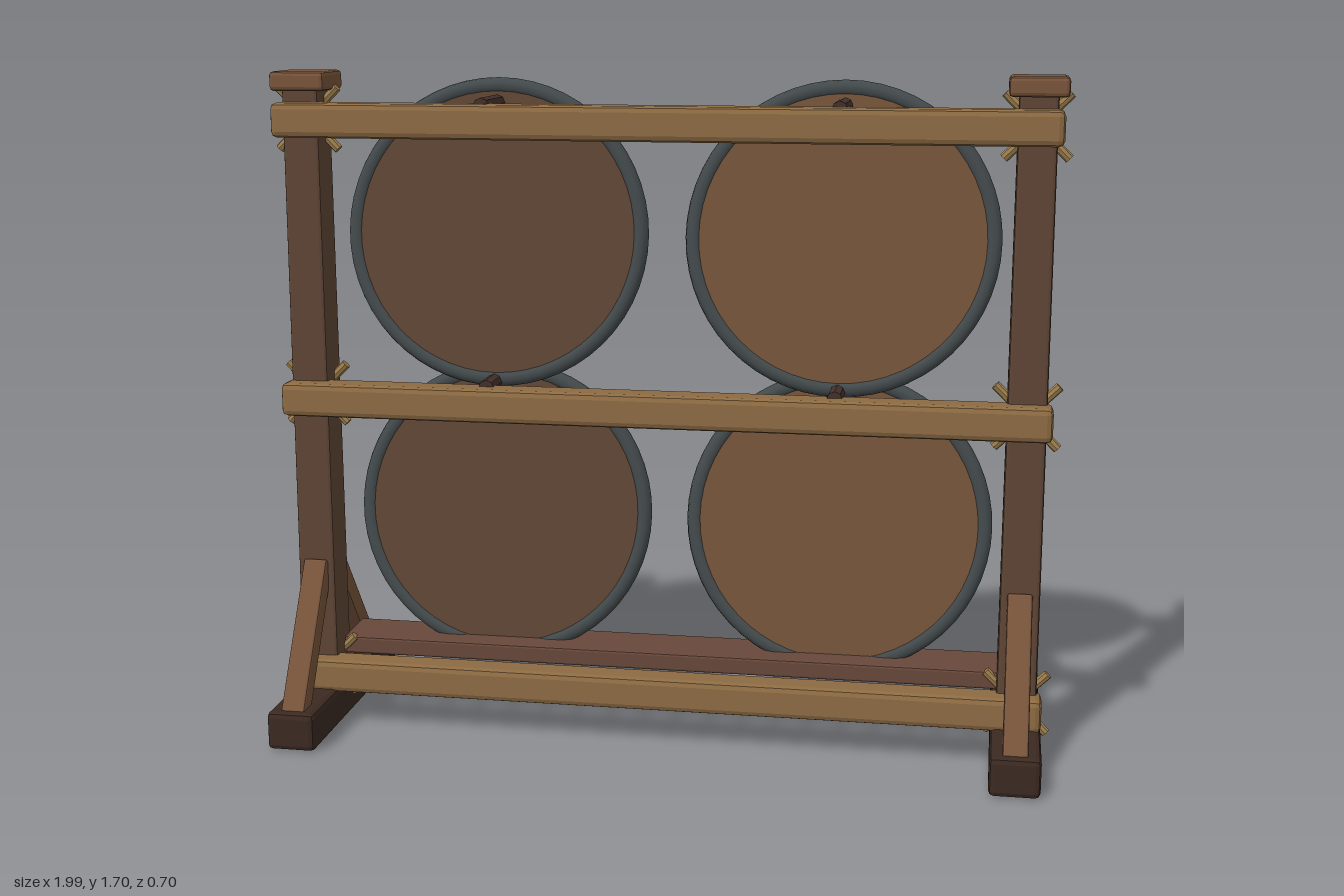
import * as THREE from 'three';
import { RoundedBoxGeometry } from 'three/addons/geometries/RoundedBoxGeometry.js';

const flat = (color) => new THREE.MeshStandardMaterial({ color, flatShading: true });
const smooth = (color) => new THREE.MeshStandardMaterial({ color });
const M = {
  post: flat(0x5e4535), foot: flat(0x3b2921), warm: flat(0x78543b), rail: flat(0x8c6b43),
  shelf: flat(0x67483a), peg: flat(0x43302a), lash: flat(0x9c7d4c), gap: flat(0x2a1e17),
  rim: smooth(0x434a4c), boss: smooth(0x7b7b71), rivet: smooth(0x55453a), paint: flat(0x4a5a69),
  darkWood: flat(0x5f4535), lightWood: flat(0x75533a),
};

function add(parent, name, geometry, material, x = 0, y = 0, z = 0) {
  const mesh = new THREE.Mesh(geometry, material);
  mesh.name = name;
  mesh.position.set(x, y, z);
  parent.add(mesh);
  return mesh;
}

// Timber with chamfered edges
const beam = (w, h, d, chamfer = 0.01) => new RoundedBoxGeometry(w, h, d, 1, chamfer);

// Slice of a disc between x0 and x1, as one flat board
function discSlice(x0, x1, r, depth) {
  const pts = [];
  const n = 12;
  const edge = (x) => Math.sqrt(Math.max(r * r - x * x, 0));
  for (let i = 0; i <= n; i++) {
    const x = x0 + (x1 - x0) * i / n;
    pts.push(new THREE.Vector2(x, -edge(x)));
  }
  for (let i = n; i >= 0; i--) {
    const x = x0 + (x1 - x0) * i / n;
    pts.push(new THREE.Vector2(x, edge(x) + 1e-5));
  }
  return new THREE.ExtrudeGeometry(new THREE.Shape(pts), { depth, bevelEnabled: false });
}

function disc(r, depth, sides = 56) {
  return new THREE.CylinderGeometry(r, r, depth, sides).rotateX(Math.PI / 2);
}

// Round shield, its outer face towards -z
function makeShield(wood, painted) {
  const g = new THREE.Group();
  const R = 0.368;
  add(g, 'shieldBack', disc(R, 0.014), wood, 0, 0, 0.007);
  add(g, 'shieldCore', disc(R - 0.002, 0.008), M.gap, 0, 0, -0.003);

  // Six planks with narrow gaps
  const count = 6, w = 2 * R / count;
  for (let i = 0; i < count; i++) {
    const x = -R + i * w;
    add(g, 'plank', discSlice(x + 0.004, x + w - 0.004, R, 0.014), wood, 0, 0, -0.018);
  }
  if (painted) add(g, 'paintedHalf', discSlice(0, R, R, 0.006), M.paint, 0, 0, -0.023);

  add(g, 'shieldRim', new THREE.TorusGeometry(0.374, 0.021, 10, 56), M.rim);

  // Boss: flange and dome, turned around the shield axis
  const flange = [[0, 0.014], [0.118, 0.014], [0.118, 0.026], [0.108, 0.032], [0.08, 0.034]];
  const dome = [];
  for (let i = 0; i <= 10; i++) {
    const a = i / 10 * Math.PI / 2;
    dome.push([0.088 * Math.cos(a), 0.03 + 0.066 * Math.sin(a)]);
  }
  const lathe = (p) => new THREE.LatheGeometry(p.map(([x, y]) => new THREE.Vector2(x, y)), 28).rotateX(-Math.PI / 2);
  const flangeMesh = add(g, 'bossFlange', lathe(flange), M.rim);
  flangeMesh.material = M.rim.clone();
  flangeMesh.material.side = THREE.DoubleSide;
  add(g, 'bossDome', lathe(dome), M.boss);

  // Rivets near the rim
  for (let i = 0; i < 14; i++) {
    const a = (i + 0.5) / 14 * Math.PI * 2;
    const x = 0.325 * Math.cos(a);
    if (painted && x > 0) continue;
    const rivet = add(g, 'rivet', new THREE.SphereGeometry(0.012, 8, 6), M.rivet, x, 0.325 * Math.sin(a), -0.018);
    rivet.scale.z = 0.6;
  }
  return g;
}

// Diagonal brace in the side plane, between two (z, y) points
function addBrace(parent, z0, y0, z1, y1) {
  const b = add(parent, 'brace', beam(0.062, Math.hypot(z1 - z0, y1 - y0), 0.055, 0.006), M.warm,
    0, (y0 + y1) / 2, (z0 + z1) / 2);
  b.rotation.x = Math.atan2(z1 - z0, y1 - y0);
}

export function createModel() {
  const model = new THREE.Group();
  model.name = 'shieldRack';
  const railHeights = [0.145, 0.885, 1.595];

  // End frames
  for (const s of [1, -1]) {
    const end = new THREE.Group();
    end.name = s > 0 ? 'leftEnd' : 'rightEnd';
    end.position.x = s * 0.91;
    model.add(end);

    add(end, 'foot', beam(0.125, 0.1, 0.705, 0.014), M.foot, 0, 0.06, 0);
    const post = beam(0.1, 1.6, 0.108, 0.009);
    const p = post.attributes.position;
    for (let i = 0; i < p.count; i++) {
      const k = 0.97 - 0.04 * p.getY(i);
      p.setX(i, p.getX(i) * k);
      p.setZ(i, p.getZ(i) * k);
    }
    add(end, 'post', post, M.post, 0, 0.88, 0.057);
    add(end, 'postCap', beam(0.142, 0.048, 0.152, 0.01), M.warm, 0, 1.69, 0.055);
    addBrace(end, 0.315, 0.08, 0.095, 0.44);
    addBrace(end, -0.26, 0.085, 0.015, 0.44);

    // Crossed lashing pegs at each rail
    for (const y of railHeights) {
      for (const t of [1, -1]) {
        const peg = add(end, 'lashingPeg', new THREE.CylinderGeometry(0.012, 0.012, 0.22, 8), M.lash, 0, y, 0.045);
        peg.rotation.z = t * Math.PI / 4;
      }
    }
  }

  // Long rails and the shelf
  for (const y of railHeights) {
    add(model, 'rail', beam(1.945, 0.086, 0.088, 0.015), M.rail, 0, y, 0.116);
  }
  add(model, 'shelf', beam(1.73, 0.046, 0.162, 0.006), M.shelf, 0, 0.198, -0.032);

  // Shields with their support pegs
  const rows = [
    { y: 0.563, z: -0.075, pegY: 0.925 },
    { y: 1.303, z: -0.035, pegY: 1.633 },
  ];
  rows.forEach((row, r) => {
    for (const s of [1, -1]) {
      const shield = makeShield(s > 0 ? M.lightWood : M.darkWood, s > 0 && r === 1);
      shield.name = (r ? 'upper' : 'lower') + (s > 0 ? 'Left' : 'Right') + 'Shield';
      shield.position.set(s * 0.442, row.y, row.z);
      shield.rotation.x = -0.112;
      model.add(shield);
      const peg = new THREE.CylinderGeometry(0.02, 0.02, 0.165, 8).rotateX(Math.PI / 2);
      add(model, 'supportPeg', peg, M.peg, s * 0.442, row.pegY, 0.028);
    }
  });

  return model;
}
